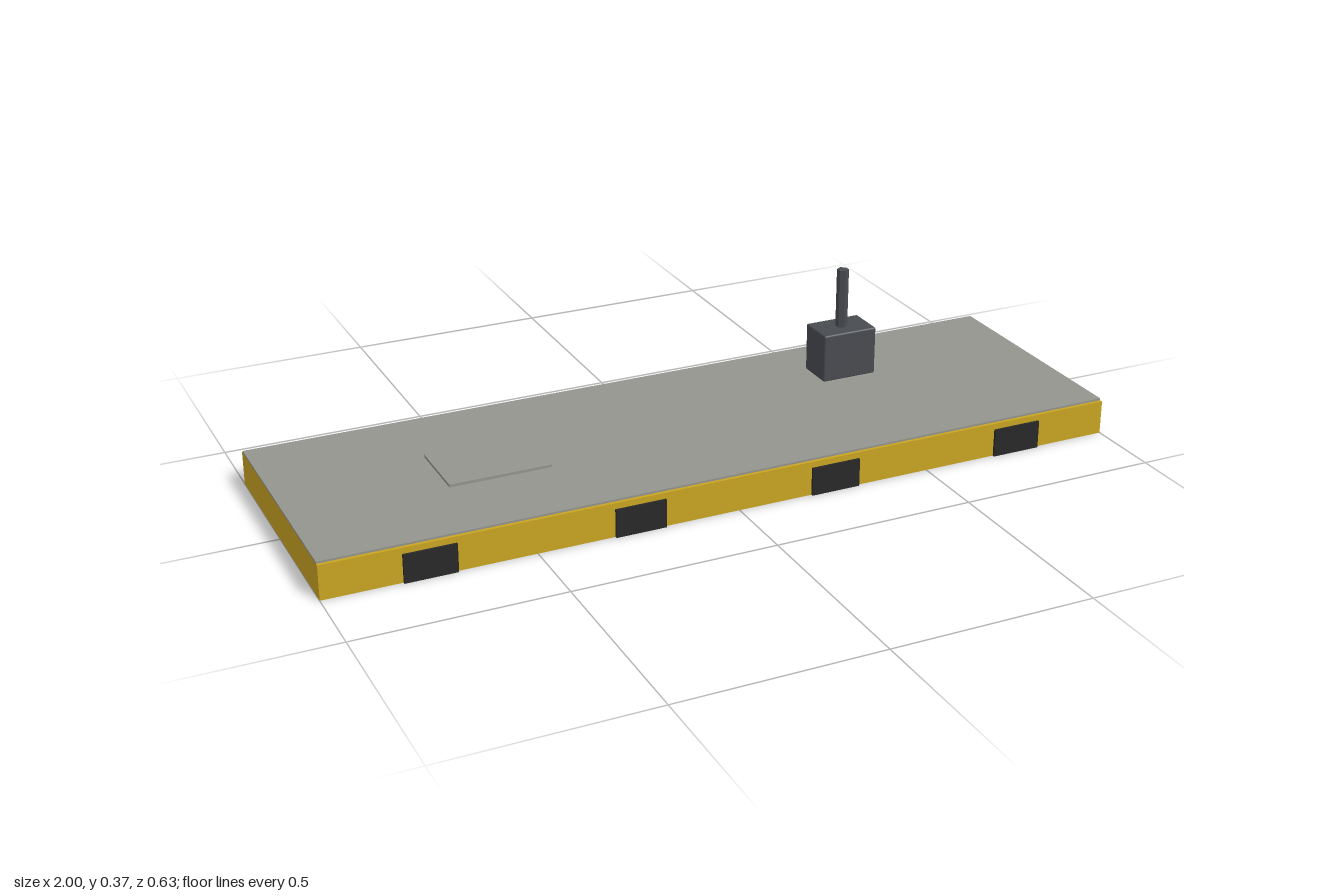
import * as THREE from 'three';
import { RoundedBoxGeometry } from 'three/addons/geometries/RoundedBoxGeometry.js';

const mat = (name, color) => {
  const m = new THREE.MeshStandardMaterial({ color });
  m.name = name;
  return m;
};

export function createModel() {
  const yellow = mat('yellow paint', 0xc9a422);
  const grey = mat('deck grey', 0x94948f);
  const black = mat('black rubber', 0x282828);
  const dark = mat('dark metal', 0x484b50);

  const model = new THREE.Group();
  model.name = 'platform';
  const add = (name, geometry, material, x, y, z) => {
    const mesh = new THREE.Mesh(geometry, material);
    mesh.name = name;
    mesh.position.set(x, y, z);
    model.add(mesh);
  };
  const box = (w, h, d) => new THREE.BoxGeometry(w, h, d);

  // Base slab with a thin deck plate on top
  add('base', box(2, 0.085, 0.62), yellow, 0, 0.0425, 0);
  add('deckPlate', box(2, 0.006, 0.603), grey, 0, 0.087, 0);

  // Low hatch cover on the deck
  add('hatch', box(0.25, 0.008, 0.175), grey, -0.5, 0.093, 0);

  // Bumper pads along both long sides
  for (const z of [-0.312, 0.312])
    for (const x of [-0.75, -0.25, 0.25, 0.75])
      add('bumperPad', box(0.125, 0.07, 0.008), black, x, 0.035, z);

  // Control box with soft edges and a six-sided post
  add('controlBox', new RoundedBoxGeometry(0.146, 0.124, 0.098, 1, 0.004), dark, 0.5, 0.152, -0.124);
  const post = new THREE.CylinderGeometry(0.015, 0.015, 0.156, 6).toNonIndexed();
  post.computeVertexNormals();
  add('post', post, dark, 0.5, 0.288, -0.124);

  return model;
}
